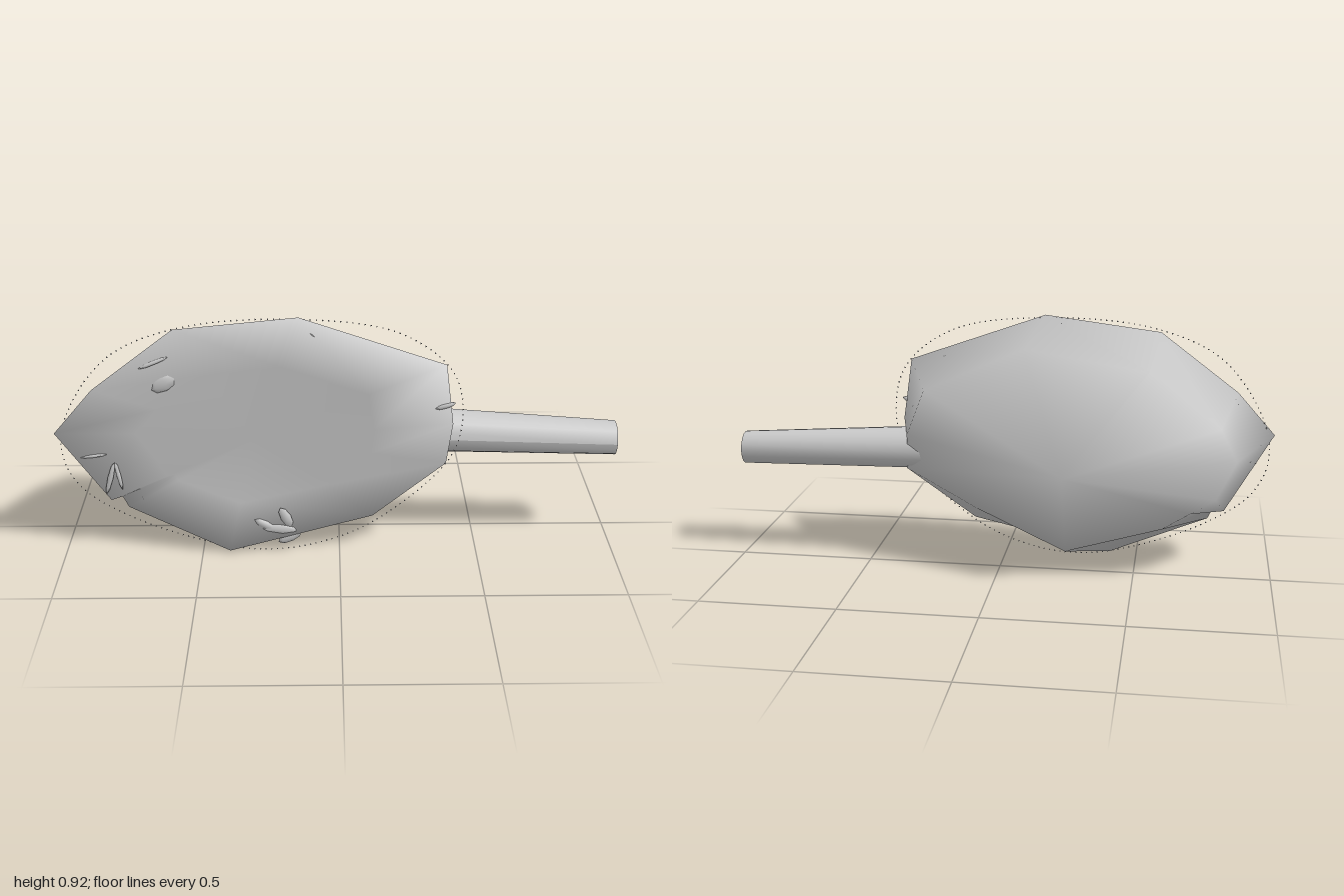
import * as THREE from 'three';
import { mergeGeometries } from 'three/addons/utils/BufferGeometryUtils.js';

const grey = () => new THREE.MeshStandardMaterial({ color: 0xcccccc });

// Front edge of the body, clockwise from its pointed end
const rim = [
  [-1, 0.5, 0.21], [-0.86, 0.66, 0.197], [-0.57, 0.88, 0.19], [-0.14, 0.93, 0.21],
  [0.37, 0.75, 0.2], [0.4, 0.52, 0.19], [0.38, 0.36, 0.18], [0.12, 0.14, 0.167],
  [-0.4, 0.015, 0.2], [-0.765, 0.18, 0.162], [-0.785, 0.222, 0.16], [-0.825, 0.21, 0.166],
];
// Shoulder behind each rim corner
const shoulder = [
  [-0.86, 0.45, 0], [-0.8, 0.58, -0.05], [-0.54, 0.785, -0.065], [-0.08, 0.83, 0.05],
  [0.28, 0.68, -0.02], [0.345, 0.51, -0.022], [0.355, 0.37, 0.02], [0.08, 0.24, -0.03],
  [-0.25, 0.1, -0.06], [-0.6, 0.2, -0.05], [-0.7, 0.26, -0.04], [-0.79, 0.31, -0.02],
];
// Nearly flat front, sinking a little towards the bottom
const front = rim.map(([x, y]) => {
  const inY = y + (0.46 - y) * 0.4;
  return [x + (-0.3 - x) * 0.4, inY, 0.155 + 0.055 * inY];
});

// Closed smooth shell: each ring is joined to the next, with a centre point at both ends
function loft(rings, first, last) {
  const n = rings[0].length;
  const points = [...rings.flat()];
  const index = [];
  for (let r = 0; r < rings.length - 1; r++) {
    for (let i = 0; i < n; i++) {
      const a = r * n + i, b = r * n + (i + 1) % n;
      index.push(a, b, a + n, b, b + n, a + n);
    }
  }
  const start = points.push(first) - 1;
  const end = points.push(last) - 1;
  const tail = (rings.length - 1) * n;
  for (let i = 0; i < n; i++) {
    const j = (i + 1) % n;
    index.push(start, j, i);
    index.push(end, tail + i, tail + j);
  }
  const g = new THREE.BufferGeometry();
  g.setAttribute('position', new THREE.Float32BufferAttribute(points.flat(), 3));
  g.setIndex(index);
  g.computeVertexNormals();
  return g;
}

// Hollow neck, oval at the body and tapering to a round free end
function neckGeometry() {
  const g = new THREE.CylinderGeometry(1, 1, 1, 16, 1, true);
  const p = g.attributes.position;
  for (let i = 0; i < p.count; i++) {
    const t = p.getY(i) + 0.5;
    const flare = 1 - t;
    const across = p.getX(i), deep = p.getZ(i);
    p.setXYZ(i,
      0.29 + 0.71 * t,
      0.41 + 0.033 * flare - across * (0.062 + 0.017 * flare),
      0.08 - 0.013 * flare + deep * (0.062 + 0.027 * flare));
  }
  g.computeVertexNormals();
  return g;
}

// Small flattened scrap lying on the front
function scrap(x, y, length, width, turn) {
  const g = new THREE.SphereGeometry(1, 7, 4);
  g.scale(length, width, 0.01);
  g.rotateZ(turn);
  g.translate(x, y, 0.175 + 0.025 * y);
  return g;
}

export function createModel() {
  const group = new THREE.Group();
  const add = (name, geometry) => {
    const mesh = new THREE.Mesh(geometry, grey());
    mesh.name = name;
    group.add(mesh);
  };

  add('body', loft([front, rim, shoulder], [-0.3, 0.46, 0.18], [-0.25, 0.43, -0.23]));
  add('neck', neckGeometry());

  // Loose scraps near the edge
  add('scraps', mergeGeometries([
    scrap(-0.22, 0.09, 0.08, 0.022, -0.1), scrap(-0.195, 0.14, 0.045, 0.02, -1.1),
    scrap(-0.27, 0.11, 0.045, 0.016, -0.5), scrap(-0.18, 0.06, 0.05, 0.02, 0.5),
    scrap(-0.61, 0.68, 0.05, 0.028, 0.5), scrap(0.37, 0.59, 0.04, 0.01, 0.3),
    scrap(-0.82, 0.31, 0.07, 0.01, 1.3), scrap(-0.79, 0.32, 0.06, 0.008, 1.75),
    scrap(-0.88, 0.4, 0.06, 0.007, 0.1),
    scrap(-0.1, 0.87, 0.05, 0.007, -0.7), scrap(-0.64, 0.76, 0.06, 0.007, 0.4),
  ]));

  // Row of specks following the rounded edge
  const edge = new THREE.CatmullRomCurve3([
    [-0.96, 0.55], [-0.8, 0.78], [-0.55, 0.89], [-0.14, 0.92], [0.2, 0.87], [0.38, 0.74],
    [0.43, 0.6], [0.4, 0.4], [0.13, 0.13], [-0.1, 0.03], [-0.3, 0.01], [-0.5, 0.05],
    [-0.75, 0.15], [-0.92, 0.27], [-0.98, 0.4],
  ].map(([x, y]) => new THREE.Vector3(x, y, 0.18 + 0.025 * y)), true);
  add('edgeSpecks', mergeGeometries(edge.getSpacedPoints(180).map((p) =>
    new THREE.TetrahedronGeometry(0.004).translate(p.x, p.y, p.z))));

  return group;
}
